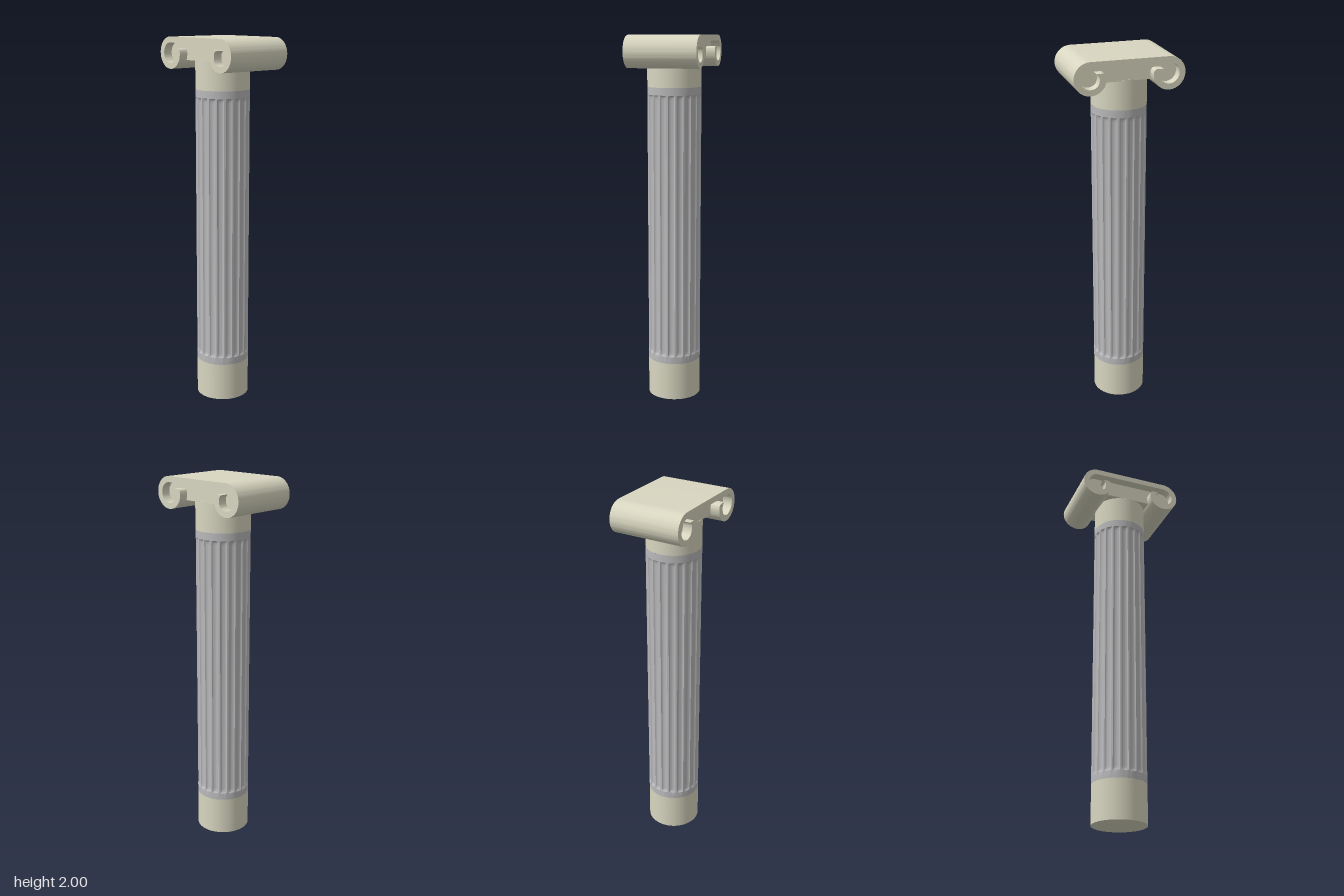
import * as THREE from 'three';
import { toCreasedNormals } from 'three/addons/utils/BufferGeometryUtils.js';

const R = 0.145;                 // column radius
const EYE_X = 0.203, EYE_Y = 1.916; // volute centre
const OUTER = 0.084, INNER = 0.053; // volute radii

const stone = new THREE.MeshStandardMaterial({ color: 0xd8d6c0 });
const grey = new THREE.MeshStandardMaterial({ color: 0xbab9bb });

function add(group, name, geometry, material) {
  const mesh = new THREE.Mesh(geometry, material);
  mesh.name = name;
  group.add(mesh);
}

// Extrude a shape symmetrically about z = 0
function slab(shape, halfDepth) {
  const g = new THREE.ExtrudeGeometry(shape, { depth: halfDepth * 2, bevelEnabled: false, curveSegments: 24 });
  g.translate(0, 0, -halfDepth);
  return toCreasedNormals(g, 0.6);
}

function drum(y0, y1) {
  return new THREE.CylinderGeometry(R, R, y1 - y0, 64).translate(0, (y0 + y1) / 2, 0);
}

// Cylinder whose wall is pressed inward into 20 round-ended flutes
function flutedShaft(y0, y1) {
  const flutes = 20, per = 10, depth = 0.009, end = 0.04;
  const a = y0 + end, b = y1 - end;
  const ys = [y1, b, b - 0.004, b - 0.012, b - 0.025, a + 0.025, a + 0.012, a + 0.004, a, y0];
  const g = new THREE.CylinderGeometry(R, R, 1, flutes * per, ys.length - 1, true);
  const p = g.attributes.position;
  for (let i = 0; i < p.count; i++) {
    const row = Math.round((0.5 - p.getY(i)) * (ys.length - 1));
    const y = ys[row];
    const angle = (i % (flutes * per + 1)) / per;
    const u = ((angle % 1) - 0.5) / 0.4;
    const t = Math.min(1, Math.max(0, Math.min(y - a, b - y) / 0.025));
    const round = Math.sqrt(t * (2 - t));
    const r = R - depth * round * Math.sqrt(Math.max(0, 1 - u * u));
    p.setXYZ(i, p.getX(i) * r / R, y, p.getZ(i) * r / R);
  }
  return toCreasedNormals(g, 0.6);
}

// Right half of the scroll band, from the top middle to the lower middle
function scrollHalf() {
  const path = new THREE.Path();
  path.moveTo(0, 2);
  path.lineTo(EYE_X, 2);
  path.absarc(EYE_X, EYE_Y, OUTER, Math.PI / 2, -Math.PI * 0.85, true);
  path.bezierCurveTo(0.118, 1.9, 0.113, 1.94, 0.142, 1.94);
  path.lineTo(0.172, 1.939);
  path.bezierCurveTo(0.155, 1.932, 0.15, 1.905, EYE_X + INNER * Math.cos(-2.4), EYE_Y + INNER * Math.sin(-2.4));
  path.absarc(EYE_X, EYE_Y, INNER, -2.4, Math.PI / 2, false);
  path.lineTo(0, EYE_Y + INNER);
  return path.getPoints(24);
}

export function createModel() {
  const model = new THREE.Group();
  model.name = 'column';

  // Column
  add(model, 'baseDrum', drum(0, 0.21), stone);
  add(model, 'flutedShaft', flutedShaft(0.21, 1.73), grey);
  add(model, 'neckDrum', drum(1.73, 1.885), stone);

  // Capital
  const capital = new THREE.Group();
  capital.name = 'capital';
  model.add(capital);

  const half = scrollHalf();
  const mirrored = half.slice(1, -1).reverse().map(v => new THREE.Vector2(-v.x, v.y));
  add(capital, 'scrollBand', slab(new THREE.Shape([...half, ...mirrored]), 0.192), stone);

  // Recessed filling between and inside the scrolls
  const core = new THREE.Shape();
  const r = 0.066;
  const foot = Math.asin((1.88 - EYE_Y) / r);
  core.moveTo(-EYE_X, EYE_Y + r);
  core.lineTo(EYE_X, EYE_Y + r);
  core.absarc(EYE_X, EYE_Y, r, Math.PI / 2, -Math.PI - foot, true);
  core.lineTo(-EYE_X + r * Math.cos(foot), 1.88);
  core.absarc(-EYE_X, EYE_Y, r, foot, -Math.PI * 1.5, true);
  add(capital, 'recessedPanel', slab(core, 0.142), stone);

  return model;
}
